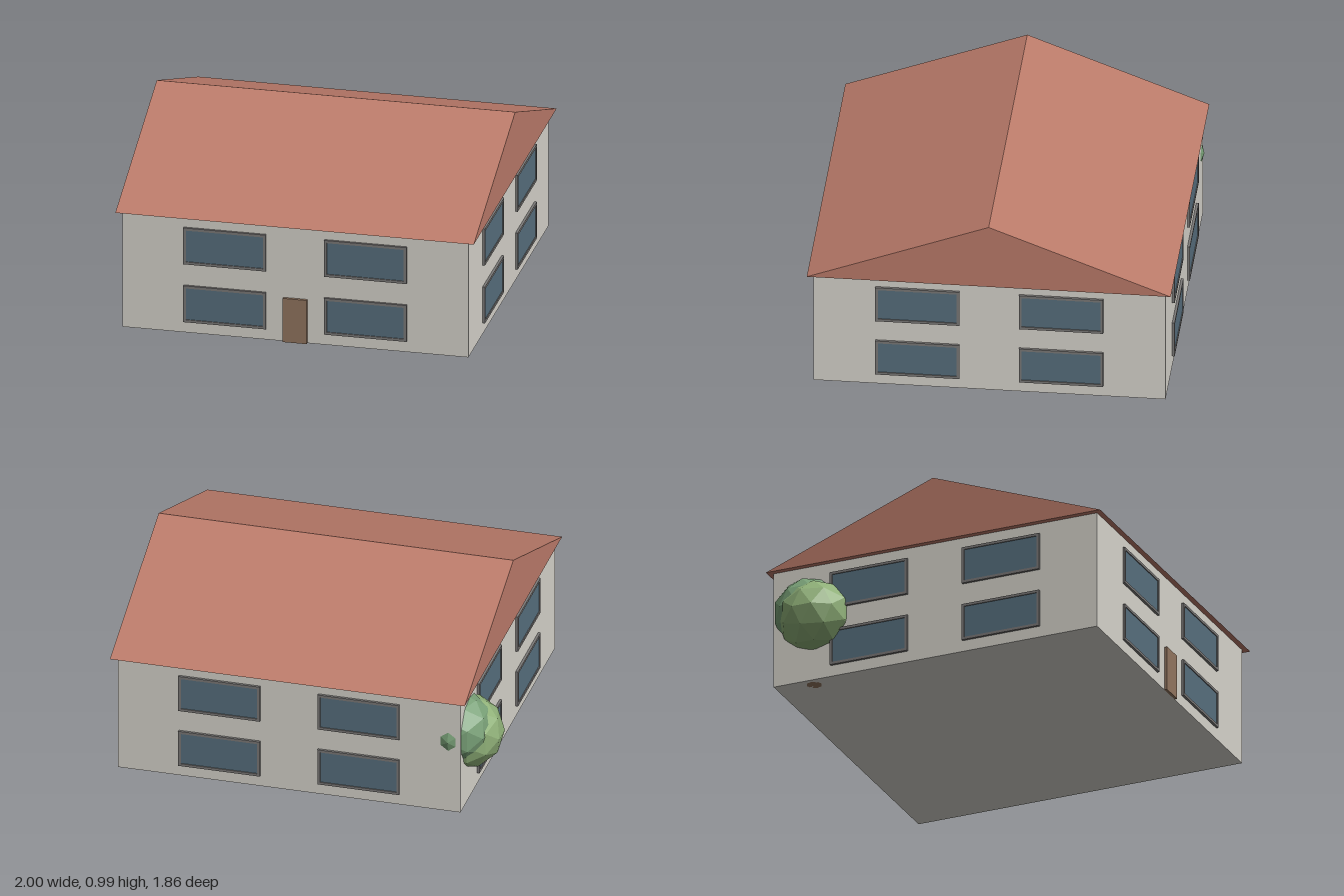
import * as THREE from 'three';

const mat = (color, flatShading = true) => new THREE.MeshStandardMaterial({ color, flatShading });

function addMesh(parent, name, geometry, material, x = 0, y = 0, z = 0) {
  const mesh = new THREE.Mesh(geometry, material);
  mesh.name = name;
  mesh.position.set(x, y, z);
  parent.add(mesh);
  return mesh;
}

// Closed rectangle centred on the origin
function rectangle(Type, w, h) {
  const r = new Type();
  r.moveTo(-w / 2, -h / 2);
  r.lineTo(w / 2, -h / 2);
  r.lineTo(w / 2, h / 2);
  r.lineTo(-w / 2, h / 2);
  r.closePath();
  return r;
}

export function createModel() {
  const model = new THREE.Group();
  model.name = 'house';
  const wallMat = mat(0xd9d6ce), roofMat = mat(0xbd7c6b), frameMat = mat(0x7c7a79);
  const glassMat = mat(0x58707f), doorMat = mat(0x937660);
  const cx = 0.0625, halfW = 0.9025, halfD = 0.9, wallH = 0.635;

  // Walls
  addMesh(model, 'walls', new THREE.BoxGeometry(halfW * 2, wallH, halfD * 2), wallMat, cx, wallH / 2, 0);

  // Gable roof: triangular prism along x
  const gable = new THREE.Shape();
  gable.moveTo(-0.93, 0);
  gable.lineTo(0.93, 0);
  gable.lineTo(0, 0.355);
  gable.closePath();
  const roofGeo = new THREE.ExtrudeGeometry(gable, { depth: 1.87, bevelEnabled: false });
  roofGeo.translate(0, 0, -0.935).rotateY(Math.PI / 2);
  addMesh(model, 'roof', roofGeo, roofMat, cx + 0.0025, wallH, 0);

  // Windows: four on each wall, a raised frame around a recessed pane
  const winW = 0.43, winH = 0.2, border = 0.014, proud = 0.013;
  const frameShape = rectangle(THREE.Shape, winW, winH);
  frameShape.holes.push(rectangle(THREE.Path, winW - 2 * border, winH - 2 * border));
  const frameGeo = new THREE.ExtrudeGeometry(frameShape, { depth: proud, bevelEnabled: false });
  const glassGeo = new THREE.BoxGeometry(winW - 2 * border, winH - 2 * border, 0.008);
  const sides = [['front', 0, halfD], ['left', 1, halfW], ['back', 2, halfD], ['right', 3, halfW]];
  for (const [side, turn, distance] of sides) {
    const wall = new THREE.Group();
    wall.name = `${side}Windows`;
    wall.position.x = cx;
    wall.rotation.y = turn * Math.PI / 2;
    model.add(wall);
    for (const u of [-0.367, 0.367]) {
      for (const y of [0.16, 0.478]) {
        const win = new THREE.Group();
        win.name = 'window';
        win.position.set(u, y, distance);
        addMesh(win, 'windowFrame', frameGeo, frameMat);
        addMesh(win, 'windowGlass', glassGeo, glassMat, 0, 0, 0.004);
        wall.add(win);
      }
    }
  }

  // Front door
  addMesh(model, 'door', new THREE.BoxGeometry(0.125, 0.24, 0.03), doorMat, 0.0625, 0.12, halfD);

  // Tree at the back corner: trunk and two faceted clumps of leaves
  const tree = new THREE.Group();
  tree.name = 'tree';
  model.add(tree);
  addMesh(tree, 'trunk', new THREE.CylinderGeometry(0.03, 0.04, 0.3, 8), doorMat, -0.78, 0.15, -0.7);
  const outer = addMesh(tree, 'outerLeaves', new THREE.IcosahedronGeometry(0.195, 1), mat(0x8fb078), -0.81, 0.355, -0.675);
  outer.rotation.y = 0.27;
  addMesh(tree, 'innerLeaves', new THREE.IcosahedronGeometry(0.19, 1), mat(0x789f76), -0.775, 0.4, -0.725);

  return model;
}
